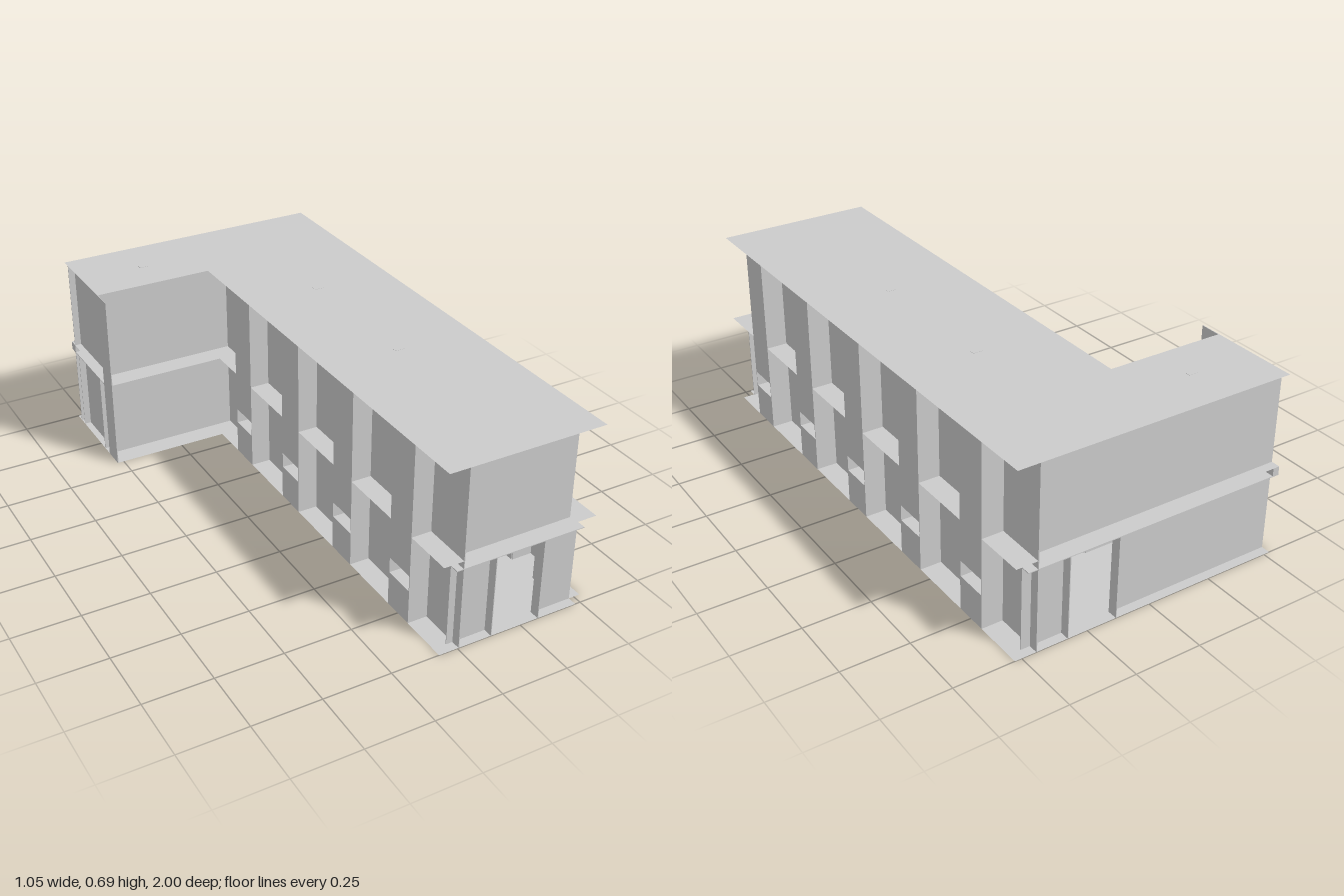
import * as THREE from 'three';

const H = 0.69, MID = 0.345, BAND = 0.315;
const XL = -0.07, XR = 0.525, XW = -0.525;
const WL = 0.005, WR = 0.445, WW = -0.5; // wall planes: left, right, wing end
const T = 0.003, HALF = 0.0625;

export function createModel() {
  const model = new THREE.Group();
  model.name = 'building';
  const mat = new THREE.MeshStandardMaterial({ color: 0xcccccc, flatShading: true, side: THREE.DoubleSide });

  function add(name, geometry) {
    const m = new THREE.Mesh(geometry, mat);
    m.name = name;
    model.add(m);
    return m;
  }

  // Box given by its limits on each axis
  function block(name, x0, x1, y0, y1, z0, z1) {
    add(name, new THREE.BoxGeometry(x1 - x0, y1 - y0, z1 - z0))
      .position.set((x0 + x1) / 2, (y0 + y1) / 2, (z0 + z1) / 2);
  }

  // Thin horizontal sheet given by its outline in x and z, with an optional hole
  const flat = points => points.map(([x, z]) => new THREE.Vector2(x, -z));
  function sheet(name, y, outline, hole) {
    const shape = new THREE.Shape(flat(outline));
    if (hole) shape.holes.push(new THREE.Path(flat(hole)));
    const g = new THREE.ShapeGeometry(shape);
    g.rotateX(-Math.PI / 2);
    add(name, g).position.y = y;
  }

  // Floors and roof; the wing's floors reach past its roof,
  // and the middle floor is a rim around the open interior
  sheet('groundFloor', 0, [[XL, 1], [0.48, 1], [0.48, 0.965], [XR, 0.965], [XR, -1],
    [XW, -1], [XW, -0.58], [XL, -0.58]]);
  sheet('middleFloor', MID, [[XL, 1], [XR, 1], [XR, -1], [XW, -1], [XW, -0.58], [XL, -0.58]],
    [[WL, 0.962], [WR, 0.962], [WR, -0.962], [WW, -0.962], [WW, -0.662], [WL, -0.662]]);
  sheet('roof', H, [[XL, 1], [XR, 1], [XR, -1], [XW, -1], [XW, -0.66], [XL, -0.66]]);

  // Hollow pier: two cheeks and a face folded into a slot near the foot
  const FACE = [[0, 0], [0, 0.13], [0.06, 0.13], [0, 0.19], [0, H]]; // inset, height
  function pier(name, outer, inner, side, z) {
    const g = new THREE.PlaneGeometry(1, 1, 1, FACE.length - 1);
    const p = g.attributes.position;
    for (let i = 0; i < p.count; i++) {
      const [inset, y] = FACE[FACE.length - 1 - Math.floor(i / 2)];
      p.setXYZ(i, outer - side * inset, y, z + (i % 2 ? -1 : 1) * side * HALF);
    }
    const folded = g.toNonIndexed();
    folded.computeVertexNormals();
    add(name + 'Face', folded);
    for (const zc of [z - HALF, z + HALF - T])
      block(name + 'Cheek', Math.min(outer, inner), Math.max(outer, inner), 0, H, zc, zc + T);
  }

  // Long sides: full-height walls between the piers
  function longSide(name, side, outer, wall, zFront, zBack, piers) {
    const ends = [zFront, ...piers.flatMap(z => [z + HALF, z - HALF]), zBack];
    for (let i = 0; i < ends.length; i += 2)
      block(name + 'Wall', Math.min(wall, wall - side * T), Math.max(wall, wall - side * T),
        0, H, ends[i + 1], ends[i]);
    piers.forEach(z => pier(name + 'Pier', outer, wall, side, z));
  }
  longSide('right', 1, XR, WR, 0.965, -1, [0.75, 0.375, 0, -0.375, -0.75]);
  longSide('left', -1, XL, WL, 1, -0.66, [0.75, 0.375, 0, -0.375]);

  // End walls, with a doorway through the wider lower storey
  const D0 = 0.135, D1 = 0.322;
  for (const e of [1, -1]) {
    const name = e > 0 ? 'front' : 'back';
    const x0 = e > 0 ? -0.02 : XW, u0 = e > 0 ? WL : XW;
    const part = (n, xa, xb, y0, y1, a, b) =>
      block(name + n, xa, xb, y0, y1, e > 0 ? a : -b, e > 0 ? b : -a);
    part('UpperWall', u0, WR, MID, H, 0.962, 0.965);
    part('LowerWallLeft', D1, 0.48, 0, BAND, 0.962, 0.965);
    part('LowerWallRight', x0, D0, 0, BAND, 0.962, 0.965);
    part('Lintel', u0, 0.48, BAND, MID, 0.962, 0.965);
    part('Ledge', x0, 0.48, BAND - T, BAND, 0.962, 1);
    for (const x of [D0 - T, D1]) part('DoorFin', x, x + T, 0, BAND, 0.962, 1);
  }

  // Wing: front wall, end wall, ledge, tall fin and posts
  block('wingFrontWall', XW, WL, 0, H, -0.66 - T, -0.66);
  block('wingEndWall', WW, WW + T, 0, H, -0.965, -0.66);
  block('wingEndLedge', XW, WW, BAND - T, BAND, -0.965, -0.66);
  block('wingLedgeCorner', XW, WW, BAND, MID, -1, -0.965);
  block('wingFin', XW, XW + T, 0, H, -0.66, -0.58);
  for (const z of [-0.93, -0.71])
    block('wingPost', XW, WW, 0, BAND, z, z + T);

  // Small roof vents
  for (const [x, z] of [[0.225, 0.245], [0.225, -0.32], [-0.27, -0.82]])
    block('roofVent', x - 0.018, x + 0.018, H - 0.004, H + 0.001, z - 0.01, z + 0.01);

  return model;
}
